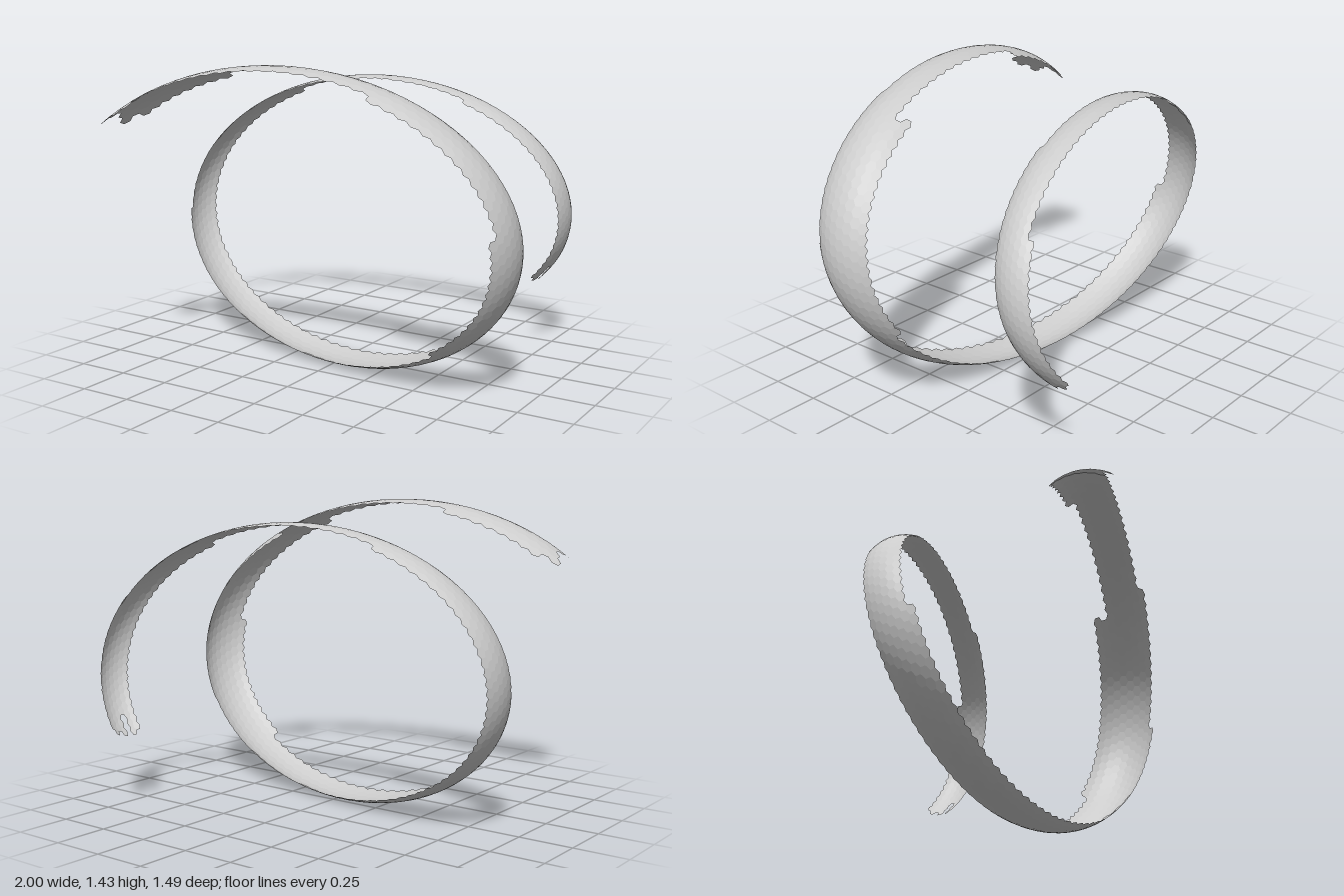
import * as THREE from 'three';

// Spine of the spiral; s counts half turns clockwise from the first top.
function spine(s) {
  const t = s * Math.PI;
  return new THREE.Vector3(
    -0.03 + (1.06 - 0.06 * s) * Math.sin(t),
    0.694 + (0.737 - 0.0478 * s) * Math.cos(t),
    0.51 - 0.435 * s
  );
}

// Point and outward normal on the arched band, theta measured across it.
function surface(s, theta) {
  const c = spine(s);
  const T = spine(s + 1e-3).sub(spine(s - 1e-3)).normalize();
  const B = new THREE.Vector3(0, 0, 1).addScaledVector(T, -T.z).normalize();
  const N = new THREE.Vector3().crossVectors(B, T);
  const normal = N.clone().multiplyScalar(Math.cos(theta)).addScaledVector(B, Math.sin(theta));
  const R = 0.235 - 0.033 * s;
  const point = c.addScaledVector(N, -R).addScaledVector(normal, R);
  return { point, normal };
}

// Rows of cells kept on each side of the spine, stepping along the length: [until s, rows]
const FRONT_ROWS = [[-0.22, 3], [0.14, 2], [0.46, 3], [0.78, 4], [1.2, 3], [1.46, 3], [2.15, 2], [9, 3]];
const BACK_ROWS = [[-0.08, 3], [0.2, 2], [0.66, 4], [1.1, 3], [1.85, 3], [2.35, 2], [9, 3]];
const rowsAt = (table, s) => table.find(([until]) => s < until)[1];

export function createModel() {
  const group = new THREE.Group();
  const START = -0.28, END = 2.69, STEP = 0.0212, ROW = 0.162;
  const pos = [], nor = [];

  // Interlocking flat hexagonal cells
  for (let row = -4; row <= 4; row++) {
    const shift = row % 2 ? 0.5 : 0;
    for (let k = 0; START + (k + shift) * STEP < END; k++) {
      const s = START + (k + shift) * STEP;
      const limit = rowsAt(row > 0 ? FRONT_ROWS : BACK_ROWS, s);
      if (Math.abs(row) > limit) continue;
      // ragged ends
      if ((k === 0 && row % 3 === 0) || (s > END - 2 * STEP && row === 1)) continue;
      const theta = row * ROW;
      const n = surface(s, theta).normal;
      const ring = [];
      for (let i = 0; i < 6; i++) {
        const a = -(i + 0.5) * Math.PI / 3;
        ring.push(surface(s + Math.cos(a) * STEP / Math.sqrt(3), theta + Math.sin(a) * ROW * 2 / 3).point);
      }
      for (let i = 1; i < 5; i++) {
        for (const p of [ring[0], ring[i], ring[i + 1]]) {
          pos.push(p.x, p.y, p.z);
          nor.push(n.x, n.y, n.z);
        }
      }
    }
  }

  const geometry = new THREE.BufferGeometry();
  geometry.setAttribute('position', new THREE.Float32BufferAttribute(pos, 3));
  geometry.setAttribute('normal', new THREE.Float32BufferAttribute(nor, 3));

  // Centre on x and z, stand on the ground
  geometry.computeBoundingBox();
  const box = geometry.boundingBox;
  const mid = box.getCenter(new THREE.Vector3());
  geometry.translate(-mid.x, -box.min.y, -mid.z);

  const band = new THREE.Mesh(geometry, new THREE.MeshStandardMaterial({ color: 0xcccccc, side: THREE.DoubleSide }));
  band.name = 'spiralBand';
  group.add(band);
  return group;
}
